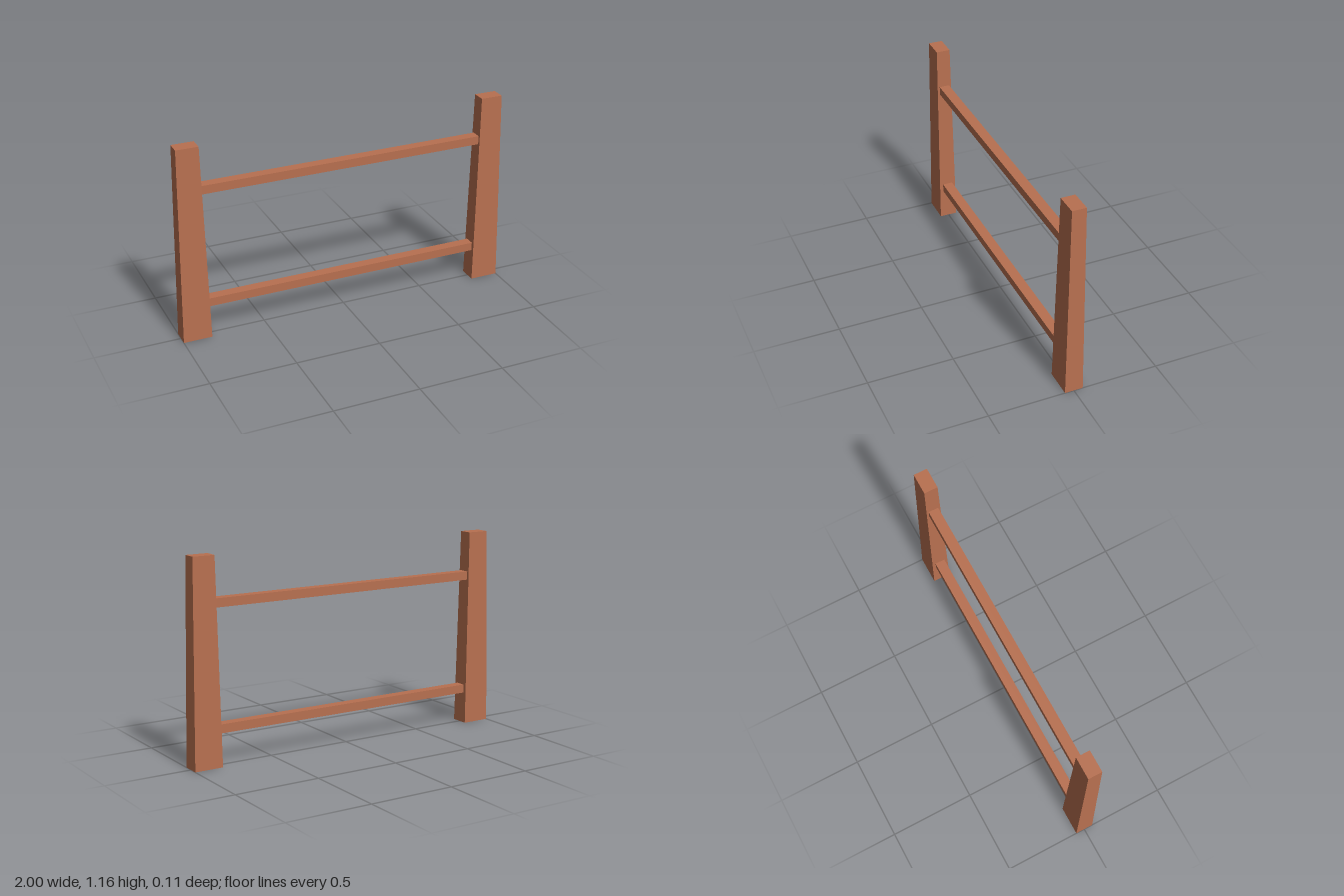
import * as THREE from 'three';

export function createModel() {
  const group = new THREE.Group();
  const wood = new THREE.MeshStandardMaterial({ color: 0xb87050 });
  wood.name = 'reddish wood';

  // Tapered posts: a box whose top corners are drawn inwards
  const height = 1.165;
  for (const side of [-1, 1]) {
    const geo = new THREE.BoxGeometry(0.168, height, 0.106);
    const pos = geo.attributes.position;
    for (let i = 0; i < pos.count; i++) {
      if (pos.getY(i) > 0) {
        pos.setX(i, pos.getX(i) * 0.77);
        pos.setZ(i, pos.getZ(i) * 0.77);
      }
    }
    geo.computeVertexNormals();
    const post = new THREE.Mesh(geo, wood);
    post.name = side > 0 ? 'leftPost' : 'rightPost';
    post.position.set(side * 0.916, height / 2, 0);
    group.add(post);
  }

  // Horizontal rails, their ends set into the posts
  for (const [name, y] of [['lowerRail', 0.21], ['upperRail', 0.905]]) {
    const rail = new THREE.Mesh(new THREE.BoxGeometry(1.71, 0.05, 0.06), wood);
    rail.name = name;
    rail.position.y = y;
    group.add(rail);
  }
  return group;
}
